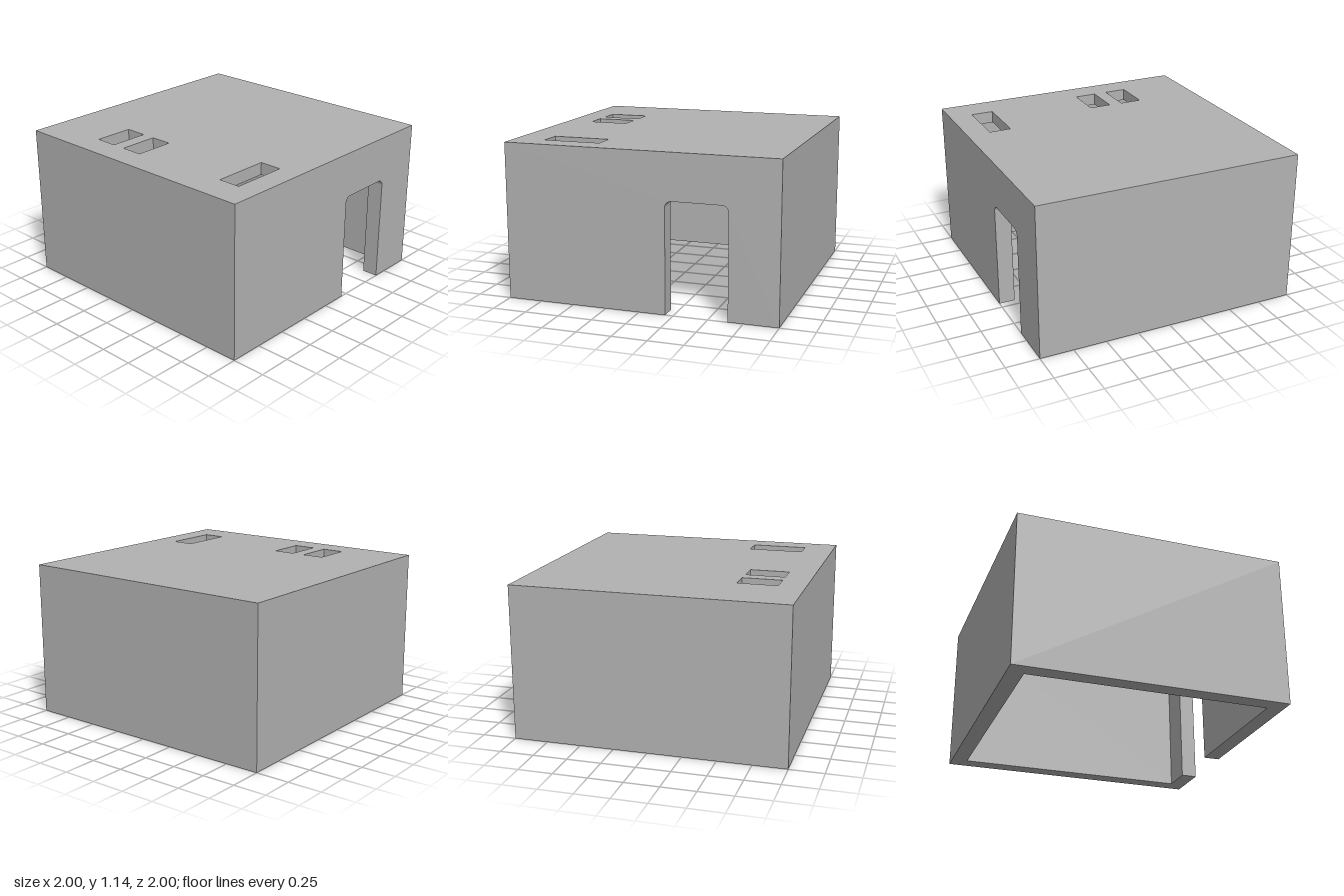
import * as THREE from 'three';
import { mergeGeometries } from 'three/addons/utils/BufferGeometryUtils.js';

const H = 1.144;      // overall height
const WALL = 0.12;    // wall thickness
const ROOF = 0.09;    // roof thickness
const IN = 1 - WALL;  // half width of the room inside
const CEIL = H - ROOF;
const DOOR = { a: 0.193, b: 0.642, top: 0.807, r: 0.045 };

const pts = list => list.map(([x, y]) => new THREE.Vector2(x, y));
const rect = (x0, y0, x1, y1) => pts([[x0, y0], [x1, y0], [x1, y1], [x0, y1]]);

// Flat face towards +z at depth z; flip turns it to face -z
function face(outline, z, flip = false, holes = []) {
  const shape = new THREE.Shape(outline);
  holes.forEach(h => shape.holes.push(new THREE.Path(h)));
  const geo = new THREE.ShapeGeometry(shape);
  if (flip) geo.index.array.reverse();
  geo.translate(0, 0, z);
  const flat = geo.toNonIndexed();
  flat.deleteAttribute('uv');
  flat.computeVertexNormals();
  return flat;
}

// Inward-facing sides of an opening, from z0 back to z1
function reveal(outline, z0, z1, closed) {
  const pos = [];
  const n = closed ? outline.length : outline.length - 1;
  for (let i = 0; i < n; i++) {
    const a = outline[i], b = outline[(i + 1) % outline.length];
    pos.push(a.x, a.y, z0, b.x, b.y, z0, b.x, b.y, z1);
    pos.push(a.x, a.y, z0, b.x, b.y, z1, a.x, a.y, z1);
  }
  const geo = new THREE.BufferGeometry();
  geo.setAttribute('position', new THREE.Float32BufferAttribute(pos, 3));
  geo.computeVertexNormals();
  return geo;
}

// Doorway outline with rounded top corners, counter-clockwise from its foot
function doorOutline() {
  const { a, b, top, r } = DOOR, out = pts([[b, 0]]);
  [[b - r, 0], [a + r, Math.PI / 2]].forEach(([cx, start]) => {
    for (let i = 0; i <= 8; i++) {
      const t = start + (i / 8) * Math.PI / 2;
      out.push(new THREE.Vector2(cx + r * Math.cos(t), top - r + r * Math.sin(t)));
    }
  });
  out.push(new THREE.Vector2(a, 0));
  return out;
}

export function createModel() {
  const group = new THREE.Group();
  const grey = new THREE.MeshStandardMaterial({ color: 0xb2b2b2 });
  grey.name = 'plain grey';
  const add = (name, geos) => {
    const mesh = new THREE.Mesh(mergeGeometries(geos), grey);
    mesh.name = name;
    group.add(mesh);
    return mesh;
  };

  // Four walls, each with an outer and an inner face; the right one has the doorway
  const door = doorOutline();
  ['frontWall', 'doorWall', 'backWall', 'leftWall'].forEach((name, i) => {
    const hasDoor = name === 'doorWall';
    const outline = (w, h) => [
      new THREE.Vector2(-w, 0),
      ...(hasDoor ? [...door].reverse() : []),
      ...pts([[w, 0], [w, h], [-w, h]]),
    ];
    const geos = [face(outline(1, H), 1), face(outline(IN, CEIL), IN, true)];
    if (hasDoor) geos.push(reveal(door, 1, IN, false));
    add(name, geos).rotation.y = i * Math.PI / 2;
  });

  // Roof slab with three rectangular openings (shape y is -z)
  const openings = [
    rect(-0.51, -0.807, -0.345, -0.515),
    rect(-0.243, -0.807, -0.078, -0.517),
    rect(0.66, -0.77, 0.826, -0.353),
  ];
  add('roof', [
    face(rect(-1, -1, 1, 1), H, false, openings),
    face(rect(-IN, -IN, IN, IN), CEIL, true, openings),
    ...openings.map(o => reveal(o, H, CEIL, true)),
  ]).rotation.x = -Math.PI / 2;

  // Underside of the walls, interrupted at the doorway
  const { a, b } = DOOR;
  const rim = pts([
    [-1, -1], [1, -1], [1, a], [IN, a], [IN, -IN], [-IN, -IN],
    [-IN, IN], [IN, IN], [IN, b], [1, b], [1, 1], [-1, 1],
  ]);
  add('wallFoot', [face(rim, 0, true)]).rotation.x = -Math.PI / 2;

  return group;
}
